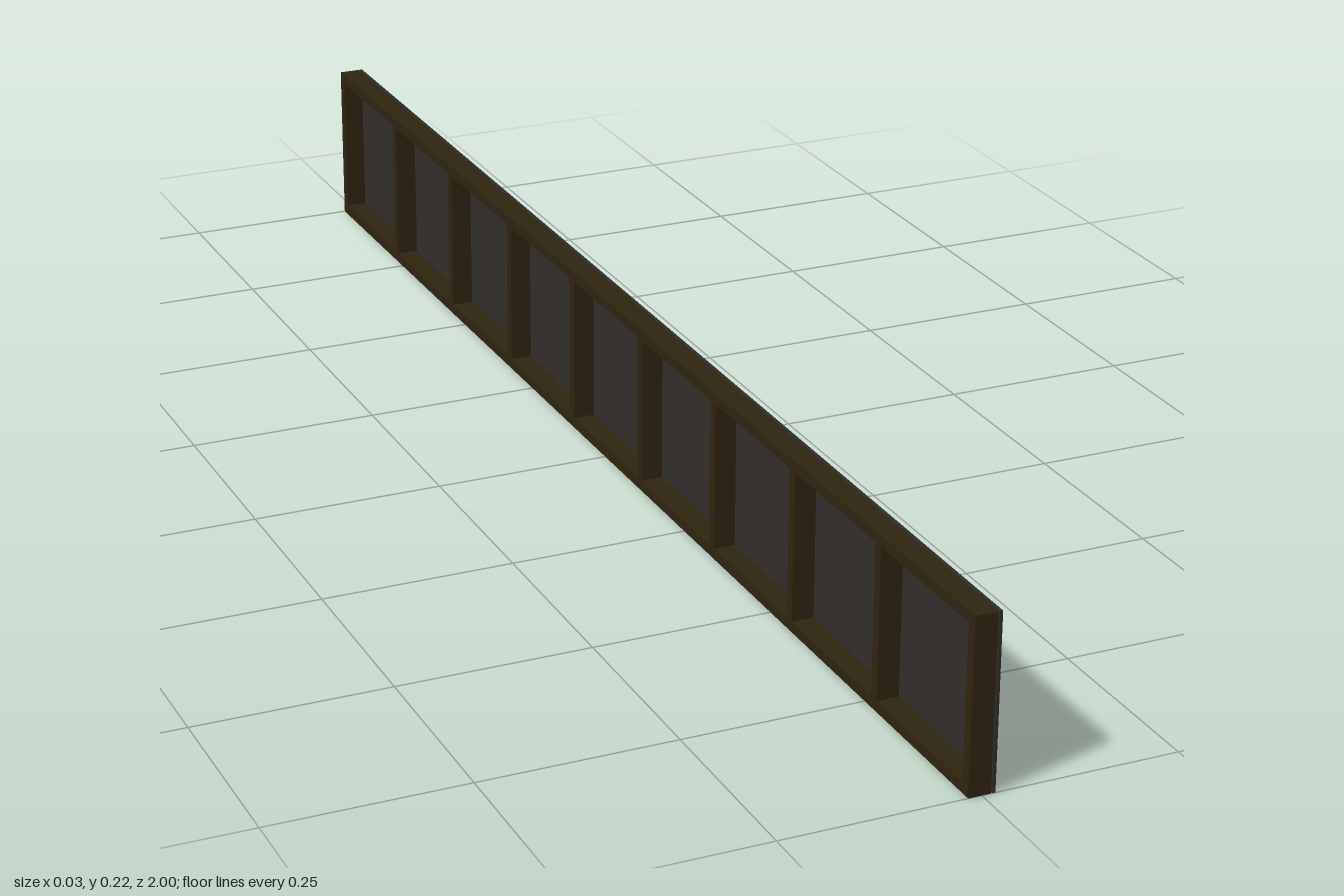
import * as THREE from 'three';

export function createModel() {
  const group = new THREE.Group();
  const timber = new THREE.MeshStandardMaterial({ color: 0x2e2411 });
  const sheet = new THREE.MeshStandardMaterial({ color: 0x302d2a });

  const length = 2, height = 0.223, bays = 9;
  const member = 0.014;                  // timber thickness
  const back = -0.017, front = 0.0115;   // timber depth along x
  const depth = front - back;

  function box(name, material, w, h, d, x, y, z) {
    const mesh = new THREE.Mesh(new THREE.BoxGeometry(w, h, d), material);
    mesh.name = name;
    mesh.position.set(x, y, z);
    group.add(mesh);
  }

  // Bottom and top rails
  const midX = (back + front) / 2;
  box('bottomRail', timber, depth, member, length, midX, member / 2, 0);
  box('topRail', timber, depth, member, length, midX, height - member / 2, 0);

  // Evenly spaced studs between the rails, including both ends
  for (let i = 0; i <= bays; i++) {
    const z = (i / bays - 0.5) * (length - member);
    box('stud' + (i + 1), timber, depth, height - 2 * member, member, midX, height / 2, z);
  }

  // Thin facing sheet, set just off the frame
  const inner = 0.013, outer = 0.017;
  box('facingSheet', sheet, outer - inner, height, length, (inner + outer) / 2, height / 2, 0);

  return group;
}
